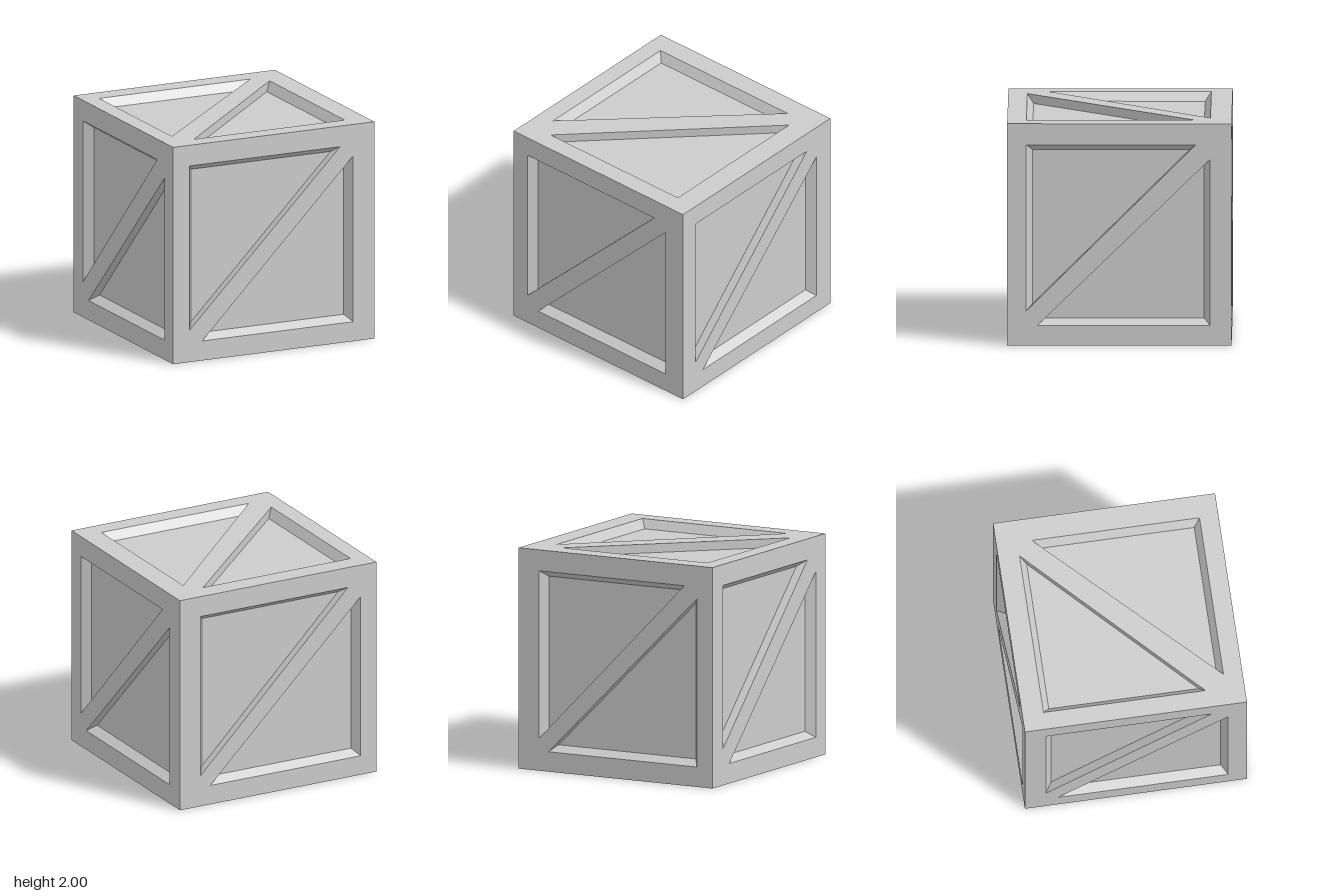
import * as THREE from 'three';

const V = (x, y, z) => new THREE.Vector3(x, y, z);

// Bounds of the recessed area on each axis, relative to the cube centre
const LOW = V(-0.84, -0.82, -0.81);
const HIGH = V(0.79, 0.81, 0.83);
const BEVEL = 0.056; // sideways run of the sloped recess walls
const DEPTH = 0.08;  // depth of the recesses

// u = right, v = up on each side; gaps = distance of the brace's four corners
// from the recess corners: [left up, top right, right top, bottom left]
const SIDES = [
  { name: 'front', u: V(1, 0, 0), v: V(0, 1, 0), gaps: [0.11, 0.13, 0.10, 0.13] },
  { name: 'back', u: V(-1, 0, 0), v: V(0, 1, 0), gaps: [0.11, 0.13, 0.11, 0.10] },
  { name: 'right', u: V(0, 0, -1), v: V(0, 1, 0), gaps: [0.13, 0.13, 0.13, 0.10] },
  { name: 'left', u: V(0, 0, 1), v: V(0, 1, 0), gaps: [0.15, 0.15, 0.13, 0.11] },
  { name: 'top', u: V(1, 0, 0), v: V(0, 0, -1), gaps: [0.18, 0.13, 0.13, 0.13] },
  { name: 'bottom', u: V(1, 0, 0), v: V(0, 0, 1), gaps: [0.13, 0.13, 0.17, 0.18] },
];

// Recess bounds along a signed axis
function span(axis) {
  const a = LOW.dot(axis), b = HIGH.dot(axis);
  return [Math.min(a, b), Math.max(a, b)];
}

// Floor triangle: square corner moved in, other two corners slide along the diagonal
function insetTriangle([a, b, c], du, dv) {
  const inner = new THREE.Vector2(a.x + du, a.y + dv);
  const onLineX = (b.clone()).lerp(c, (inner.x - b.x) / (c.x - b.x));
  const onLineY = (b.clone()).lerp(c, (inner.y - b.y) / (c.y - b.y));
  return [inner, onLineX, onLineY];
}

function flatGeometry(points) {
  const geometry = new THREE.BufferGeometry().setFromPoints(points);
  geometry.computeVertexNormals();
  return geometry;
}

export function createModel() {
  const model = new THREE.Group();
  model.name = 'crate';
  const material = new THREE.MeshStandardMaterial({ color: 0xcccccc, flatShading: true });

  for (const { name, u, v, gaps } of SIDES) {
    const side = new THREE.Group();
    side.name = name + 'Side';
    const n = u.clone().cross(v);
    side.quaternion.setFromRotationMatrix(new THREE.Matrix4().makeBasis(u, v, n));
    side.position.copy(n).add(V(0, 1, 0));
    const add = (geometry, part) => {
      const mesh = new THREE.Mesh(geometry, material);
      mesh.name = part;
      side.add(mesh);
    };

    const [l, r] = span(u), [b, t] = span(v);
    const P = (x, y) => new THREE.Vector2(x, y);
    const recesses = [
      { name: 'upper', tri: [P(l, t), P(l, b + gaps[0]), P(r - gaps[1], t)], du: BEVEL, dv: -BEVEL },
      { name: 'lower', tri: [P(r, b), P(r, t - gaps[2]), P(l + gaps[3], b)], du: -BEVEL, dv: BEVEL },
    ];

    // Border and diagonal brace in one flat face
    const face = new THREE.Shape([P(-1, -1), P(1, -1), P(1, 1), P(-1, 1)]);
    for (const { tri } of recesses) face.holes.push(new THREE.Path([...tri].reverse()));
    add(new THREE.ShapeGeometry(face), 'frameAndBrace');

    // Triangular recesses: three walls and a floor panel each
    for (const { name: label, tri, du, dv } of recesses) {
      const rim = tri.map(p => V(p.x, p.y, 0));
      const floor = insetTriangle(tri, du, dv).map(p => V(p.x, p.y, -DEPTH));
      const walls = [];
      for (let i = 0; i < 3; i++) {
        const j = (i + 1) % 3;
        walls.push(rim[i], rim[j], floor[j], rim[i], floor[j], floor[i]);
      }
      add(flatGeometry(walls), label + 'RecessWalls');
      add(flatGeometry(floor), label + 'Panel');
    }
    model.add(side);
  }
  return model;
}
